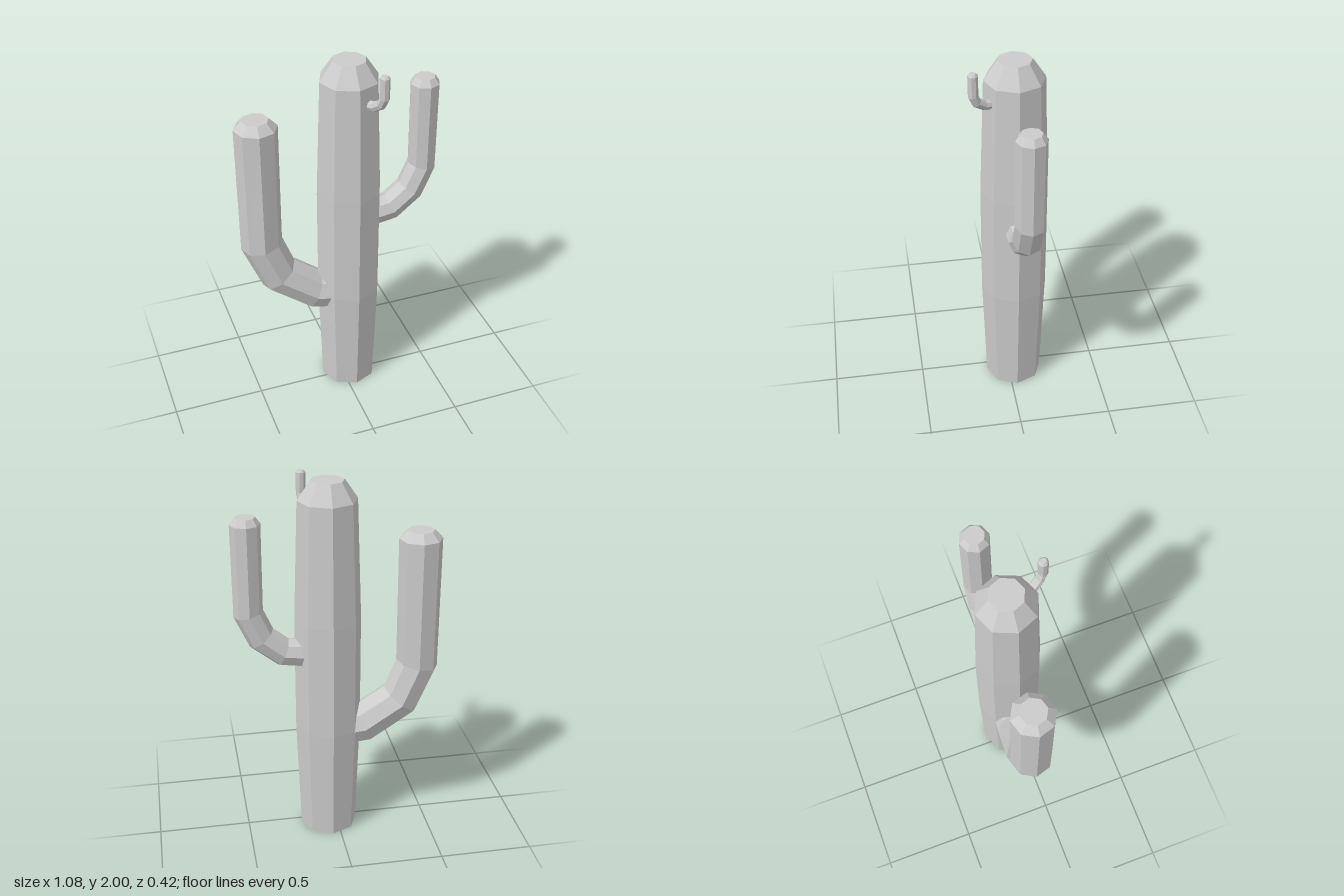
import * as THREE from 'three';

const SIDES = 8;
const TRUNK_X = 0.045, TRUNK_Z = -0.032;

const material = new THREE.MeshStandardMaterial({
  color: 0xcccccc, flatShading: true, side: THREE.DoubleSide,
});

// Eight-sided arm following a path of [distance from trunk axis, height],
// lying in the upright plane that points along (dx, dz), with a bevelled tip.
function armGeometry(dx, dz, path, radius, tipRadius, bevel) {
  const dir = new THREE.Vector3(dx, 0, dz).normalize();
  const up = new THREE.Vector3(0, 1, 0);
  const side = up.clone().cross(dir);
  const points = path.map(([d, y]) => new THREE.Vector2(d, y));

  // Rings along the path, square to the bisector at each bend
  const rings = points.map((p, i) => {
    const t = new THREE.Vector2();
    if (i > 0) t.add(p.clone().sub(points[i - 1]).normalize());
    if (i < points.length - 1) t.add(points[i + 1].clone().sub(p).normalize());
    return { p, t: t.normalize(), r: radius };
  });
  // Bevel ring, then a point to close the tip
  const tip = points[points.length - 1].clone();
  tip.y += bevel;
  const upright = new THREE.Vector2(0, 1);
  rings.push({ p: tip, t: upright, r: tipRadius }, { p: tip, t: upright, r: 0 });

  const positions = [], index = [];
  rings.forEach(({ p, t, r }, i) => {
    const out = dir.clone().multiplyScalar(t.y).addScaledVector(up, -t.x);
    for (let j = 0; j < SIDES; j++) {
      const a = (j / SIDES) * Math.PI * 2;
      const v = dir.clone().multiplyScalar(p.x).addScaledVector(up, p.y)
        .addScaledVector(out, Math.cos(a) * r).addScaledVector(side, Math.sin(a) * r);
      positions.push(v.x, v.y, v.z);
      if (i === 0) continue;
      const k = (j + 1) % SIDES, lo = (i - 1) * SIDES, hi = i * SIDES;
      index.push(lo + j, lo + k, hi + k);
      if (r > 0) index.push(lo + j, hi + k, hi + j);
    }
  });
  // The closing point needs only one triangle per side
  const geometry = new THREE.BufferGeometry();
  geometry.setAttribute('position', new THREE.Float32BufferAttribute(positions, 3));
  geometry.setIndex(index);
  geometry.computeVertexNormals();
  return geometry;
}

export function createModel() {
  const group = new THREE.Group();
  group.name = 'cactus';

  const add = (name, geometry, z = TRUNK_Z) => {
    const mesh = new THREE.Mesh(geometry, material);
    mesh.name = name;
    mesh.position.set(TRUNK_X, 0, z);
    group.add(mesh);
  };

  // Trunk: swollen in the middle, bevelled at the top, open underneath
  const profile = [[0.155, 0], [0.177, 0.63], [0.177, 1.26], [0.155, 1.9], [0.088, 2], [0, 2]];
  add('trunk', new THREE.LatheGeometry(profile.map(([r, y]) => new THREE.Vector2(r, y)), SIDES));

  // Thick low arm on the right
  add('rightArm', armGeometry(-0.475, -0.048,
    [[0.06, 0.615], [0.196, 0.635], [0.392, 0.775], [0.477, 0.985], [0.477, 1.685]],
    0.113, 0.07, 0.045));

  // Thinner, higher arm on the left
  add('leftArm', armGeometry(1, 0,
    [[0.09, 1.07], [0.24, 1.09], [0.352, 1.18], [0.416, 1.322], [0.416, 1.8]],
    0.078, 0.053, 0.035), -0.043);

  // Small shoot near the top of the front
  add('shoot', armGeometry(0.1, 0.213,
    [[0.1, 1.797], [0.176, 1.807], [0.22, 1.835], [0.239, 1.875], [0.239, 1.983]],
    0.026, 0.016, 0.012));

  return group;
}
